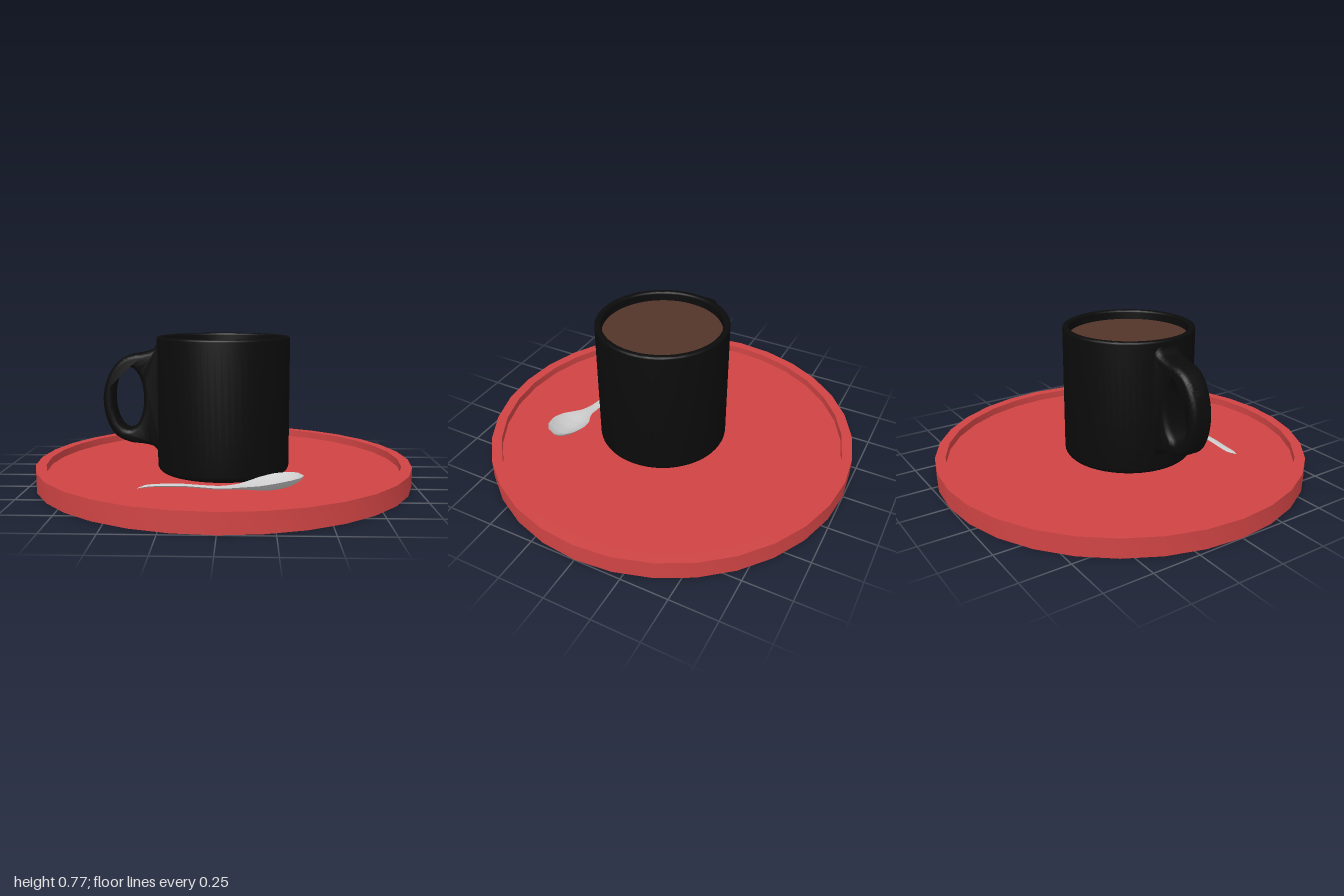
import * as THREE from 'three';
import { mergeVertices, toCreasedNormals } from 'three/addons/utils/BufferGeometryUtils.js';

const v2 = (pairs) => pairs.map(([x, y]) => new THREE.Vector2(x, y));

function part(name, geometry, color) {
  const mesh = new THREE.Mesh(geometry, new THREE.MeshStandardMaterial({ color }));
  mesh.name = name;
  return mesh;
}

// Quarter-circle points for rounded profile corners
function arc(cx, cy, r, from, to, n = 5) {
  return Array.from({ length: n + 1 }, (_, i) => {
    const a = from + ((to - from) * i) / n;
    return [cx + r * Math.cos(a), cy + r * Math.sin(a)];
  });
}

// Ring-shaped handle: extruded outline with an oval hole, widening towards the cup
function handleGeometry() {
  const shape = new THREE.Shape();
  shape.moveTo(-0.318, 0.76);
  shape.lineTo(-0.345, 0.74);
  shape.splineThru(v2([[-0.365, 0.705], [-0.42, 0.685], [-0.5, 0.668], [-0.565, 0.625],
    [-0.615, 0.54], [-0.635, 0.44], [-0.62, 0.335], [-0.575, 0.25], [-0.5, 0.21],
    [-0.42, 0.2], [-0.37, 0.188], [-0.345, 0.16]]));
  shape.lineTo(-0.318, 0.14);
  shape.closePath();
  const hole = new THREE.Path();
  hole.absellipse(-0.497, 0.445, 0.079, 0.165, 0, Math.PI * 2);
  shape.holes.push(hole);

  const geo = new THREE.ExtrudeGeometry(shape, {
    depth: 0.06, curveSegments: 32, bevelEnabled: true,
    bevelSize: 0.025, bevelThickness: 0.03, bevelOffset: -0.025, bevelSegments: 5,
  });
  geo.translate(0, 0, -0.03);
  const pos = geo.attributes.position;
  for (let i = 0; i < pos.count; i++) {
    const t = THREE.MathUtils.mapLinear(pos.getX(i), -0.635, -0.32, 0, 1);
    pos.setZ(i, pos.getZ(i) * (0.97 + 0.38 * t));
  }
  geo.deleteAttribute('uv');
  geo.deleteAttribute('normal');
  return toCreasedNormals(mergeVertices(geo, 1e-4), 0.8);
}

// Spoon: crescent cross-sections lofted along x
function spoonGeometry() {
  // x, rim height, z, half width, top hollow, bottom depth
  const stations = [
    [-0.402, 0.062, 0.497, 0.004, 0, 0.004],
    [-0.36, 0.07, 0.482, 0.02, -0.004, 0.008],
    [-0.2, 0.078, 0.487, 0.02, -0.004, 0.01],
    [-0.1, 0.074, 0.493, 0.021, -0.004, 0.01],
    [0.0, 0.072, 0.504, 0.026, -0.003, 0.011],
    [0.08, 0.082, 0.514, 0.037, 0.002, 0.016],
    [0.13, 0.093, 0.52, 0.058, 0.014, 0.026],
    [0.19, 0.107, 0.521, 0.089, 0.032, 0.042],
    [0.26, 0.122, 0.521, 0.1, 0.043, 0.053],
    [0.33, 0.133, 0.521, 0.085, 0.036, 0.047],
    [0.375, 0.137, 0.521, 0.053, 0.018, 0.028],
    [0.396, 0.136, 0.521, 0.006, 0, 0.004],
  ];
  const path = new THREE.CatmullRomCurve3(stations.map((s) => new THREE.Vector3(s[0], s[1], s[2])));
  const size = new THREE.CatmullRomCurve3(stations.map((s) => new THREE.Vector3(s[3], s[4], s[5])));
  const rows = 66, half = 12, ring = half * 2;
  const positions = [], index = [];
  for (let i = 0; i <= rows; i++) {
    const p = path.getPoint(i / rows), s = size.getPoint(i / rows);
    for (let j = 0; j < ring; j++) {
      const u = Math.cos((j / half) * Math.PI);
      const drop = (j <= half ? s.y : s.z) * (1 - u * u);
      positions.push(p.x, p.y - drop, p.z + u * s.x);
    }
  }
  for (let i = 0; i < rows; i++) {
    for (let j = 0; j < ring; j++) {
      const k = (j + 1) % ring;
      const a = i * ring + j, b = a + ring, c = i * ring + k, d = c + ring;
      index.push(a, b, c, b, d, c);
    }
  }
  // End caps
  for (let j = 1; j < ring - 1; j++) {
    const e = rows * ring;
    index.push(0, j, j + 1, e, e + j + 1, e + j);
  }
  const geo = new THREE.BufferGeometry();
  geo.setAttribute('position', new THREE.Float32BufferAttribute(positions, 3));
  geo.setIndex(index);
  return toCreasedNormals(geo, 0.9);
}

export function createModel() {
  const model = new THREE.Group();
  model.name = 'cupOnTray';

  // Round tray with a raised rim
  const trayProfile = v2([[0, 0], [1, 0], [1, 0.1], [0.945, 0.1], [0.945, 0.06], [0, 0.06]]);
  model.add(part('tray', toCreasedNormals(new THREE.LatheGeometry(trayProfile, 32), 0.5), 0xd04444));

  // Cup with rounded base and lip
  const cup = new THREE.Group();
  cup.name = 'cup';
  cup.position.z = 0.055;
  const h = Math.PI / 2;
  const cupProfile = v2([
    [0, 0.06],
    ...arc(0.32, 0.09, 0.03, -h, 0),
    ...arc(0.338, 0.758, 0.012, 0, h),
    ...arc(0.327, 0.758, 0.012, h, 2 * h),
    [0.315, 0.1], [0, 0.1],
  ]);
  cup.add(part('cupBody', toCreasedNormals(new THREE.LatheGeometry(cupProfile, 64), 0.6), 0x0b0b0b));
  cup.add(part('cupHandle', handleGeometry(), 0x0b0b0b));

  // Drink surface
  const drink = part('drink', new THREE.CircleGeometry(0.317, 64), 0x523529);
  drink.rotation.x = -h;
  drink.position.y = 0.72;
  cup.add(drink);
  model.add(cup);

  model.add(part('spoon', spoonGeometry(), 0xcccccc));
  return model;
}
